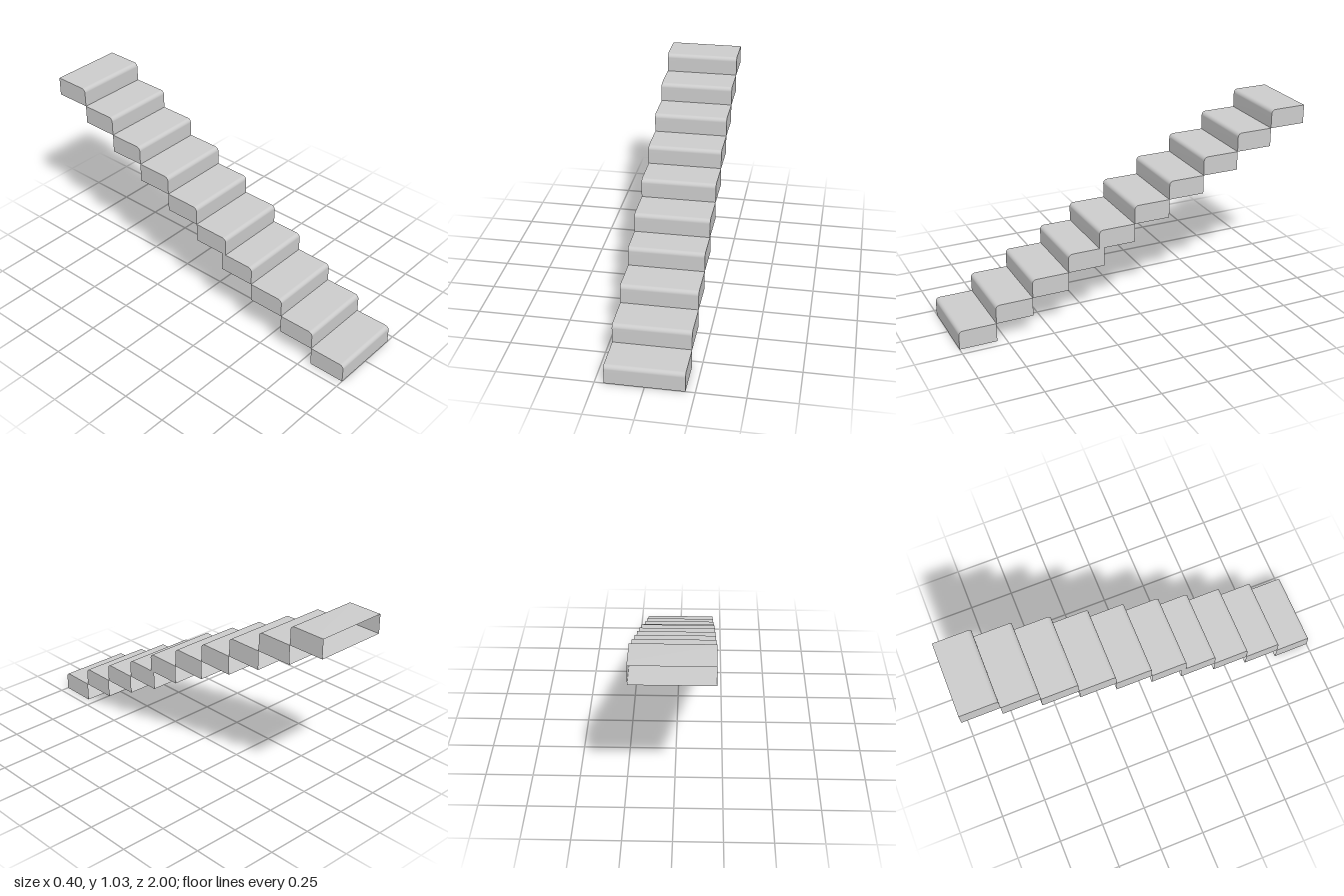
import * as THREE from 'three';

const HALF_WIDTH = 0.202, RISE = 0.1027, RUN = 0.2026, NOSE = 0.022, STEPS = 10;
const material = new THREE.MeshStandardMaterial({ color: 0xcccccc, side: THREE.DoubleSide });

// Sheet across the full stair width, following [z, y] points
function ribbon(points) {
  const geo = new THREE.PlaneGeometry(HALF_WIDTH * 2, 1, 1, points.length - 1);
  const pos = geo.attributes.position;
  points.forEach(([z, y], row) => {
    for (let i = 0; i < 2; i++) pos.setXYZ(row * 2 + i, (i ? 1 : -1) * HALF_WIDTH, y, z);
  });
  geo.computeVertexNormals();
  return geo;
}

// Flat end wall; side is +1 or -1 along x
function endWall(points, side) {
  const shape = new THREE.Shape(points.map(([z, y]) => new THREE.Vector2(-side * z, y)));
  const geo = new THREE.ShapeGeometry(shape);
  geo.rotateY(side * Math.PI / 2);
  geo.translate(side * HALF_WIDTH, 0, 0);
  return geo;
}

export function createModel() {
  // Step profile from the back of the tread, over the rounded nosing, to the foot of the riser
  const top = [[-RUN, RISE]];
  const segments = 6;
  for (let i = 0; i <= segments; i++) {
    const a = (Math.PI / 2) * (1 - i / segments);
    top.push([-NOSE + NOSE * Math.cos(a), RISE - NOSE + NOSE * Math.sin(a)]);
  }
  top.push([0, 0]);
  const outline = [...top, [-RUN, 0]];

  // Each step is a hollow shell, open at the back
  const parts = {
    treadAndRiser: ribbon(top),
    underside: ribbon([[0, 0], [-RUN, 0]]),
    leftSide: endWall(outline, 1),
    rightSide: endWall(outline, -1),
  };

  const stairs = new THREE.Group();
  stairs.name = 'stairs';
  for (let i = 0; i < STEPS; i++) {
    const step = new THREE.Group();
    step.name = `step${i + 1}`;
    for (const [name, geo] of Object.entries(parts)) {
      const mesh = new THREE.Mesh(geo, material);
      mesh.name = name;
      step.add(mesh);
    }
    // The upper six steps sit slightly forward, overlapping the fourth
    step.position.set(0, i * RISE, 1 - i * RUN + (i >= 4 ? 0.026 : 0));
    stairs.add(step);
  }
  return stairs;
}
